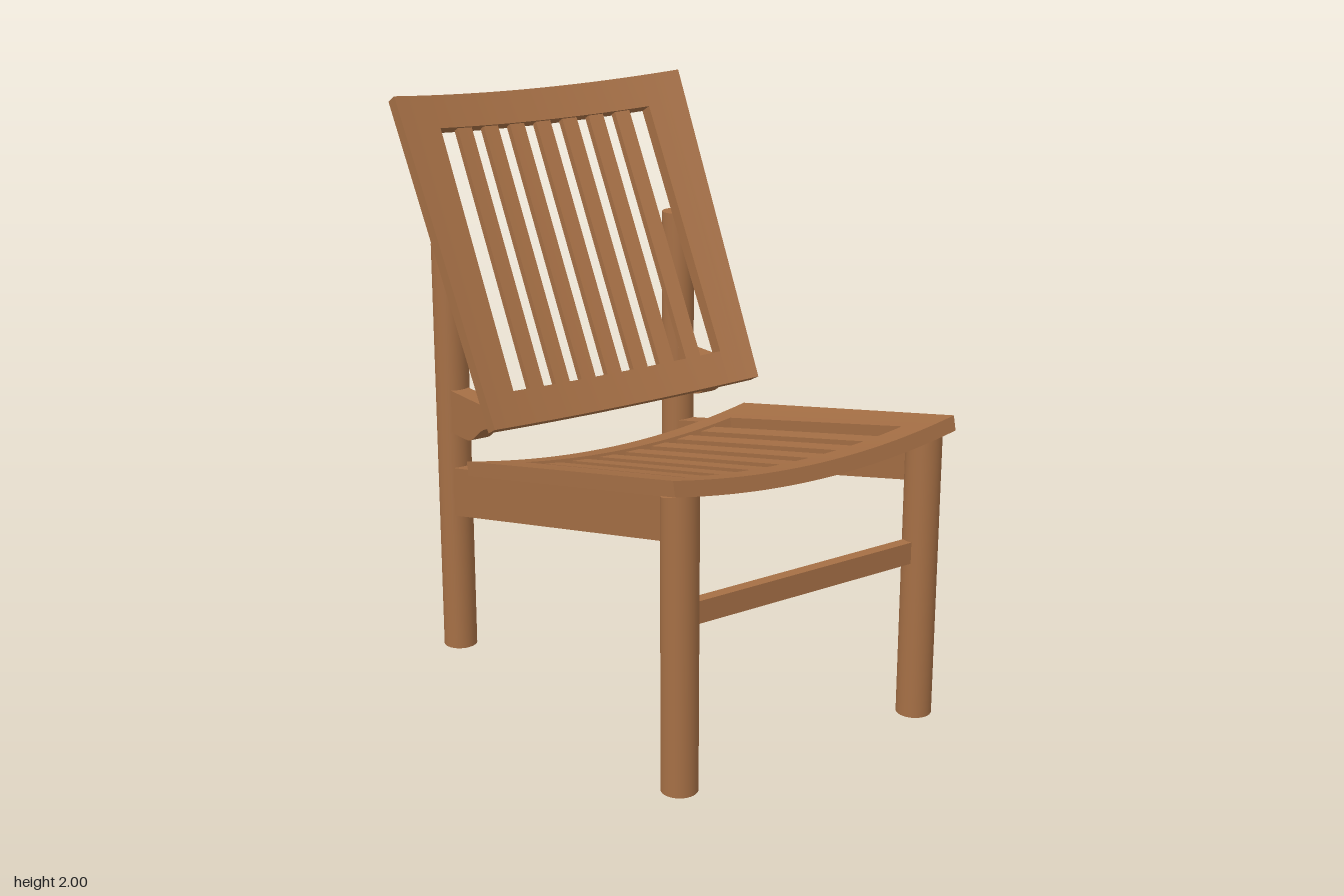
import * as THREE from 'three';
import { toCreasedNormals } from 'three/addons/utils/BufferGeometryUtils.js';

const LENGTH = 1.2, RAIL = 0.122, OPENING = 0.44, SAG = 0.057, THICK = 0.05;
const LEG_R = 0.06, LEG_Z = 0.49, SLOPE = 0.226;

// half width of a slatted panel, from its narrow end to its wide end
const halfWidth = (u) => 0.56 + 0.037 * (u / LENGTH);

// dished slab: x runs along the panel, y is depth away from the sitter, z across
function dishedSlab(u0, u1, z0, z1, n0, n1, segs) {
  const geo = new THREE.BoxGeometry(1, 1, 1, 1, 1, segs);
  const p = geo.attributes.position;
  for (let i = 0; i < p.count; i++) {
    const u = u0 + (p.getX(i) + 0.5) * (u1 - u0);
    const z = THREE.MathUtils.lerp(z0(u), z1(u), p.getZ(i) + 0.5);
    const depth = SAG * (1 - (z / 0.597) ** 2);
    p.setXYZ(i, u, n0 + (p.getY(i) + 0.5) * (n1 - n0) + depth, z);
  }
  return toCreasedNormals(geo, 0.5);
}

export function createModel() {
  const chair = new THREE.Group();
  chair.name = 'loungeChair';
  const wood = new THREE.MeshStandardMaterial({ color: 0xa56f45 });
  wood.name = 'warm wood';

  const add = (parent, name, geo, x = 0, y = 0, z = 0) => {
    const mesh = new THREE.Mesh(geo, wood);
    mesh.name = name;
    mesh.position.set(x, y, z);
    parent.add(mesh);
    return mesh;
  };

  // framed panel with seven slats, shared by seat and backrest
  function slattedPanel(name, x, y, angle) {
    const panel = new THREE.Group();
    panel.name = name;
    panel.position.set(x, y, 0);
    panel.rotation.z = angle;
    const at = (v) => () => v;
    for (const [part, u] of [['narrowRail', 0], ['wideRail', LENGTH - RAIL]]) {
      add(panel, part, dishedSlab(u, u + RAIL, at(-OPENING), at(OPENING), 0, THICK, 20));
    }
    add(panel, 'leftStile', dishedSlab(0, LENGTH, at(OPENING), halfWidth, 0, THICK, 4));
    add(panel, 'rightStile', dishedSlab(0, LENGTH, (u) => -halfWidth(u), at(-OPENING), 0, THICK, 4));
    for (let i = -3; i <= 3; i++) {
      const z = i * 0.111;
      add(panel, 'slat', dishedSlab(RAIL - 0.01, LENGTH - RAIL + 0.01,
        at(z - 0.03), at(z + 0.03), 0.01, 0.036, 2));
    }
    chair.add(panel);
  }
  slattedPanel('backrest', -0.195, 0.945, Math.atan2(1.055, -0.57));
  slattedPanel('seat', 0.835, 1.065, Math.atan2(-0.265, -1.17));

  // flat side profile given thickness across the chair
  const plank = (shape, width) => new THREE.ExtrudeGeometry(shape,
    { depth: width, bevelEnabled: false, curveSegments: 10 }).translate(0, 0, -width / 2);

  // sloping seat rail
  const railShape = new THREE.Shape();
  railShape.moveTo(-0.575, 0.515);
  railShape.lineTo(0.74, 0.83);
  railShape.lineTo(0.74, 0.985);
  railShape.lineTo(-0.575, 0.695);
  const railGeo = plank(railShape, 0.07);

  // curved bracket carrying the backrest
  const bracketShape = new THREE.Shape();
  bracketShape.moveTo(-0.575, 0.83);
  bracketShape.lineTo(-0.48, 0.83);
  bracketShape.bezierCurveTo(-0.39, 0.825, -0.4, 0.895, -0.28, 0.918);
  bracketShape.lineTo(-0.235, 0.935);
  bracketShape.lineTo(-0.265, 0.985);
  bracketShape.lineTo(-0.575, 0.985);
  const bracketGeo = plank(bracketShape, 0.07);

  // round legs; the front ones are cut to the slope of the seat
  const backLegGeo = new THREE.CylinderGeometry(LEG_R, LEG_R, 1.5, 32).translate(0, 0.75, 0);
  const frontLegGeo = new THREE.CylinderGeometry(LEG_R, LEG_R, 0.985, 32).translate(0, 0.4925, 0);
  const p = frontLegGeo.attributes.position;
  for (let i = 0; i < p.count; i++) {
    if (p.getY(i) > 0.5) p.setY(i, p.getY(i) + SLOPE * p.getX(i));
  }

  for (const [side, s] of [['left', 1], ['right', -1]]) {
    add(chair, side + 'BackLeg', backLegGeo, -0.613, 0, s * LEG_Z);
    add(chair, side + 'FrontLeg', frontLegGeo, 0.775, 0, s * LEG_Z);
    add(chair, side + 'SeatRail', railGeo, 0, 0, s * LEG_Z);
    add(chair, side + 'BackBracket', bracketGeo, 0, 0, s * LEG_Z);
  }

  // stretcher between the front legs
  add(chair, 'frontStretcher', new THREE.BoxGeometry(0.04, 0.075, 0.9), 0.775, 0.593, 0);

  return chair;
}
